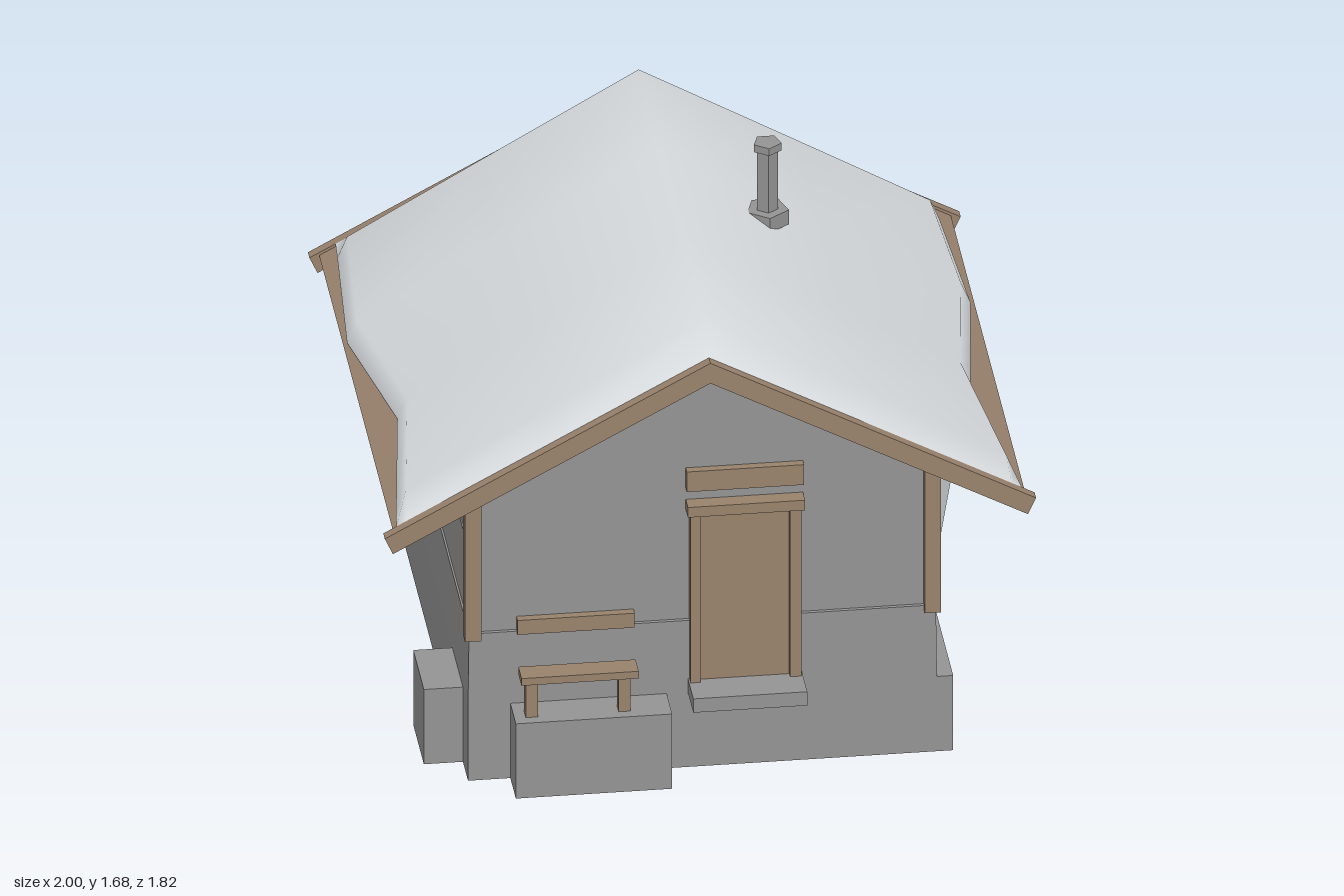
import * as THREE from 'three';

const stone = new THREE.MeshStandardMaterial({ name: 'greyStone', color: 0x949494, side: THREE.DoubleSide });
const wood = new THREE.MeshStandardMaterial({ name: 'brownWood', color: 0x98826c });
const snow = new THREE.MeshStandardMaterial({ name: 'paleSnow', color: 0xd6dadd, side: THREE.DoubleSide });

// Surface through rows of [x, y, z] points, faceted unless smooth
function loft(rows, { closed = false, smooth = false } = {}) {
  const n = rows[0].length, idx = [];
  for (let r = 0; r < rows.length - 1; r++) {
    for (let i = 0; i < (closed ? n : n - 1); i++) {
      const j = (i + 1) % n, a = r * n, b = a + n;
      idx.push(a + i, a + j, b + j, a + i, b + j, b + i);
    }
  }
  const g = new THREE.BufferGeometry();
  g.setAttribute('position', new THREE.Float32BufferAttribute(rows.flat(2), 3));
  g.setIndex(idx);
  const result = smooth ? g : g.toNonIndexed();
  result.computeVertexNormals();
  return result;
}

// Shape in the front plane, extruded from z0 to z1
function slab(points, z0, z1) {
  const shape = new THREE.Shape(points.map(([x, y]) => new THREE.Vector2(x, y)));
  return new THREE.ExtrudeGeometry(shape, { depth: z1 - z0, bevelEnabled: false }).translate(0, 0, z0);
}

export function createModel() {
  const model = new THREE.Group();
  model.name = 'snowyCabin';

  const add = (name, geometry, material, parent = model) => {
    const m = new THREE.Mesh(geometry, material);
    m.name = name;
    parent.add(m);
    return m;
  };
  const box = (name, mat, x0, x1, y0, y1, z0, z1, parent) => add(name,
    new THREE.BoxGeometry(x1 - x0, y1 - y0, z1 - z0)
      .translate((x0 + x1) / 2, (y0 + y1) / 2, (z0 + z1) / 2), mat, parent);
  const group = (name) => {
    const g = new THREE.Group();
    g.name = name;
    model.add(g);
    return g;
  };

  // Hollow foundation and overlapping wall courses
  const ring = (y, x0, x1, z0, z1) => [[x0, y, z1], [x1, y, z1], [x1, y, z0], [x0, y, z0]];
  const wall = (y, h, front) => ring(y, -h, h, -h, front);
  add('foundation', loft([
    ring(0, -0.72, 0.77, -0.77, 0.72), ring(0.26, -0.72, 0.77, -0.77, 0.72), wall(0.26, 0.72, 0.72),
  ], { closed: true }), stone);
  add('walls', loft([
    wall(0.26, 0.72, 0.72), wall(0.51, 0.717, 0.72), wall(0.51, 0.711, 0.708), wall(0.75, 0.706, 0.708),
    wall(0.75, 0.702, 0.708), wall(1.0, 0.697, 0.708),
  ], { closed: true }), stone);
  box('floor', stone, -0.718, 0.718, 0.25, 0.26, -0.718, 0.44);
  box('entranceFloor', stone, -0.71, 0.71, 0.5, 0.51, 0.44, 0.71);
  add('gables', slab([[-0.7, 1], [0.7, 1], [0, 1.39]], -0.7, 0.708), stone);

  // Stone blocks and doorstep
  box('sideBlock', stone, -0.84, -0.72, 0, 0.26, 0.35, 0.6);
  box('benchPlatform', stone, -0.59, -0.11, 0, 0.26, 0.715, 0.85);
  box('doorstep', stone, -0.045, 0.305, 0.26, 0.308, 0.715, 0.85);

  // Corner posts
  for (const sx of [-1, 1]) for (const sz of [-1, 1]) {
    box('cornerPost', wood, -0.025, 0.025, 0.49, 1.0, -0.025, 0.025).position.set(sx * 0.706, 0, sz * 0.708);
  }

  // Door with frame and board above
  const door = group('door');
  box('doorPanel', wood, -0.01, 0.265, 0.308, 0.89, 0.715, 0.73, door);
  box('leftJamb', wood, 0.265, 0.3, 0.308, 0.89, 0.715, 0.75, door);
  box('rightJamb', wood, -0.04, -0.01, 0.308, 0.89, 0.715, 0.75, door);
  box('lintel', wood, -0.05, 0.31, 0.89, 0.925, 0.7, 0.76, door);
  box('doorBoard', wood, -0.05, 0.31, 0.965, 1.035, 0.7, 0.735, door);

  // Bench with backboard on the wall
  const bench = group('bench');
  box('benchSeat', wood, -0.57, -0.21, 0.38, 0.405, 0.755, 0.83, bench);
  for (const x of [-0.555, -0.27]) box('benchLeg', wood, x, x + 0.037, 0.26, 0.38, 0.773, 0.815, bench);
  box('benchBack', wood, -0.57, -0.21, 0.505, 0.555, 0.7, 0.735, bench);

  // Window frames on both sides
  for (const [s, z] of [[1, 0.225], [-1, 0.07]]) {
    const w = group('windowFrame');
    box('topBar', wood, -0.03, 0.03, 0.88, 0.915, -0.152, 0.152, w);
    box('sill', wood, -0.035, 0.035, 0.65, 0.68, -0.16, 0.16, w);
    for (const d of [-0.125, 0.125]) box('sideBar', wood, -0.025, 0.025, 0.68, 0.88, d - 0.01, d + 0.01, w);
    w.position.set(s * 0.717, 0, z);
  }

  // Roof deck with bargeboards at both gables
  const chevron = (x, top, thick) => [
    [0, top], [-x, top - 0.54 * x], [-x + 0.025, top - 0.54 * x - thick * 0.78],
    [0, top - thick], [x - 0.025, top - 0.54 * x - thick * 0.78], [x, top - 0.54 * x],
  ];
  add('roofDeck', slab(chevron(0.97, 1.495, 0.067), -0.88, 0.88), wood);
  add('frontBargeboard', slab(chevron(1.0, 1.505, 0.07), 0.873, 0.908), wood);
  add('backBargeboard', slab(chevron(1.0, 1.505, 0.07), -0.908, -0.873), wood);

  // Snow blanket: station z, right and left overhang, thickness factor
  const roofY = (x) => 1.505 - 0.54 * Math.abs(x);
  add('roofSnow', loft([
    [0.873, 0.96, 0.96, 0], [0.79, 0.95, 0.95, 1], [0.28, 0.88, 0.88, 1],
    [-0.29, 0.955, 0.96, 1], [-0.79, 0.925, 0.925, 1], [-0.873, 0.915, 0.92, 0],
  ].map(([z, xr, xl, t]) => [
    [-xl, 0], [-xl + 0.03, 0.055], [-0.48, 0.072], [0, 0.09], [0.48, 0.072], [xr - 0.03, 0.055], [xr, 0],
  ].map(([x, h]) => [x, roofY(x) + h * t, z])), { smooth: true }), snow);

  // Five-sided chimney
  const chimney = group('chimney');
  for (const [name, r, y0, y1] of [
    ['chimneyPipe', 0.034, 1.22, 1.66], ['chimneyCap', 0.045, 1.655, 1.68], ['chimneyCollar', 0.068, 1.4, 1.45],
  ]) {
    add(name, new THREE.CylinderGeometry(r, r, y1 - y0, 5).toNonIndexed(), stone, chimney)
      .position.set(0.31, (y0 + y1) / 2, -0.137);
  }
  chimney.children.forEach((m) => m.geometry.computeVertexNormals());

  // Undercut snow heap against the left wall: height, then [z, x] around it
  add('sideSnowHeap', loft([
    [0.26, [0.03, 0.71], [0.0, 0.74], [-0.22, 0.8], [-0.5, 0.87], [-0.54, 0.71]],
    [0.385, [0.21, 0.71], [0.05, 0.82], [-0.4, 0.92], [-0.53, 0.87], [-0.56, 0.71]],
    [0.54, [0.03, 0.7], [-0.04, 0.79], [-0.35, 0.875], [-0.55, 0.82], [-0.58, 0.7]],
    [0.68, [-0.11, 0.7], [-0.12, 0.785], [-0.25, 0.82], [-0.36, 0.79], [-0.38, 0.7]],
    [0.72, [-0.12, 0.7], [-0.13, 0.78], [-0.25, 0.81], [-0.35, 0.785], [-0.36, 0.7]],
    [0.75, [-0.19, 0.7], [-0.2, 0.75], [-0.25, 0.78], [-0.29, 0.76], [-0.3, 0.7]],
    [0.75, [-0.25, 0.7], [-0.25, 0.71], [-0.25, 0.71], [-0.25, 0.71], [-0.25, 0.7]],
  ].map(([y, ...pts]) => pts.map(([z, x]) => [x, y, z]))), snow);

  // Low drift behind the back wall: x, height, reach
  add('backSnowDrift', loft([
    [0.64, 0, 0], [0.24, 0.135, 0.08], [0.16, 0.125, 0.105], [-0.34, 0, 0],
  ].map(([x, h, d]) => [
    [x, 0.262 + h, -0.71], [x, 0.262 + h * 0.75, -0.72 - d * 0.5],
    [x, 0.262, -0.725 - d], [x, 0.262, -0.71],
  ])), snow);

  return model;
}
